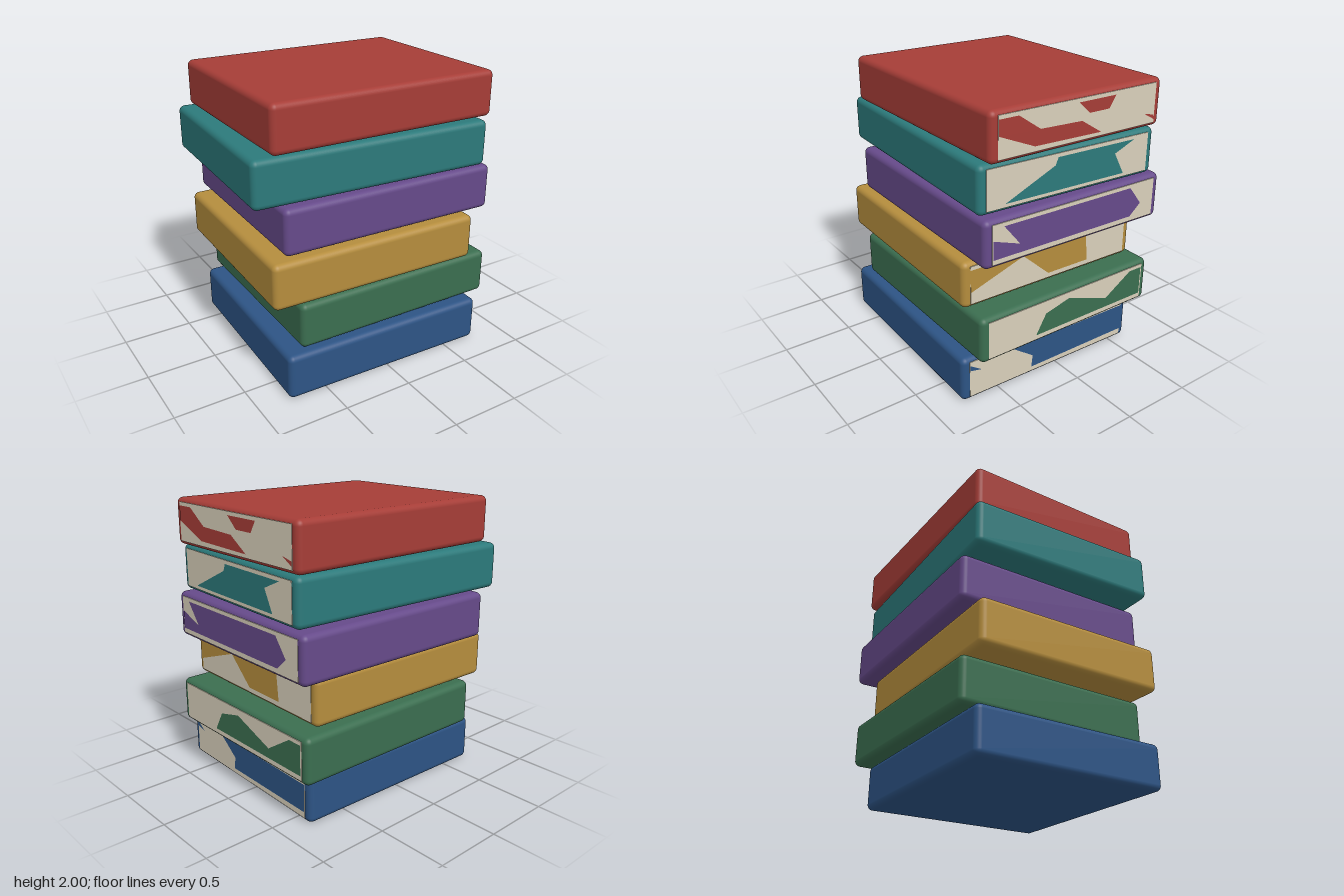
import * as THREE from 'three';
import { RoundedBoxGeometry } from 'three/addons/geometries/RoundedBoxGeometry.js';

const HEIGHT = 0.325, STEP = 0.335, INSET = 0.055;

// Books from bottom to top: cover size, position, small turn,
// and cover-coloured patches on the page side as simple [z, y] outlines.
const BOOKS = [
  { name: 'blue', color: 0x2d5485, w: 1.538, d: 1.434, x: 0.01, z: 0.05, turn: 0.03, patches: [
    [[0.32, 0.11], [-0.66, 0.11], [-0.66, -0.09], [0.16, -0.1], [0.15, -0.01]],
    [[0.66, 0.11], [0.57, 0.05], [0.66, 0.07]]] },
  { name: 'green', color: 0x3b6e50, w: 1.536, d: 1.45, x: 0.115, z: -0.0125, turn: 0.01, patches: [
    [[0.29, -0.1], [0.21, 0.04], [0.01, 0.09], [-0.33, -0.03], [-0.55, 0.11], [-0.66, 0.11], [-0.66, -0.1]]] },
  { name: 'ochre', color: 0xb58d3d, w: 1.563, d: 1.408, x: -0.0475, z: 0.0175, turn: 0.03, patches: [
    [[0.65, 0.11], [-0.29, 0.11], [-0.31, -0.1], [0.03, -0.1], [0.24, 0.09], [0.65, -0.05]]] },
  { name: 'purple', color: 0x664a8a, w: 1.618, d: 1.441, x: 0.09, z: -0.045, turn: 0.028, patches: [
    [[0.58, 0.11], [-0.45, 0.11], [-0.55, -0.02], [-0.46, -0.1], [0.66, -0.1], [0.66, 0.03], [0.46, -0.04]]] },
  { name: 'teal', color: 0x2c7a7b, w: 1.75, d: 1.374, x: -0.0125, z: -0.035, turn: 0.057, patches: [
    [[0.5, -0.11], [0.13, 0.06], [0.11, 0.11], [-0.51, 0.11], [-0.35, 0.04], [-0.43, -0.11]]] },
  { name: 'red', color: 0xa63d37, w: 1.683, d: 1.357, x: 0.055, z: -0.035, turn: 0.02, patches: [
    [[0.62, 0.11], [0.48, 0.11], [0.32, 0], [0, -0.01], [-0.16, -0.11], [0.36, -0.1], [0.62, 0.01]],
    [[0.03, 0.11], [-0.27, 0.11], [-0.22, 0.03], [-0.06, 0.03]],
    [[-0.53, -0.06], [-0.62, -0.08], [-0.62, -0.11]]] },
];

function material(name, color) {
  const m = new THREE.MeshStandardMaterial({ color });
  m.name = name;
  return m;
}

function addMesh(group, name, geometry, mat, x = 0) {
  const mesh = new THREE.Mesh(geometry, mat);
  mesh.name = name;
  mesh.position.x = x;
  group.add(mesh);
}

export function createModel() {
  const model = new THREE.Group();
  model.name = 'bookStack';
  const paper = material('paper cream', 0xd9d0bb);

  BOOKS.forEach((b, i) => {
    const book = new THREE.Group();
    book.name = b.name + 'Book';
    const cover = material(b.name + ' cover', b.color);

    // Rounded cover block
    addMesh(book, 'cover', new RoundedBoxGeometry(b.w, HEIGHT, b.d, 4, 0.04), cover);

    // Thin page panel on the +x side
    addMesh(book, 'pages', new THREE.BoxGeometry(0.006, 0.27, b.d - 2 * INSET), paper, b.w / 2);

    // Cover-coloured patches over the pages
    for (const outline of b.patches) {
      const shape = new THREE.Shape(outline.map(([z, y]) => new THREE.Vector2(-z, y)));
      addMesh(book, 'pagePatch', new THREE.ShapeGeometry(shape).rotateY(Math.PI / 2), cover, b.w / 2 + 0.005);
    }

    book.position.set(b.x, i * STEP + HEIGHT / 2, b.z);
    book.rotation.y = -b.turn;
    model.add(book);
  });
  return model;
}
